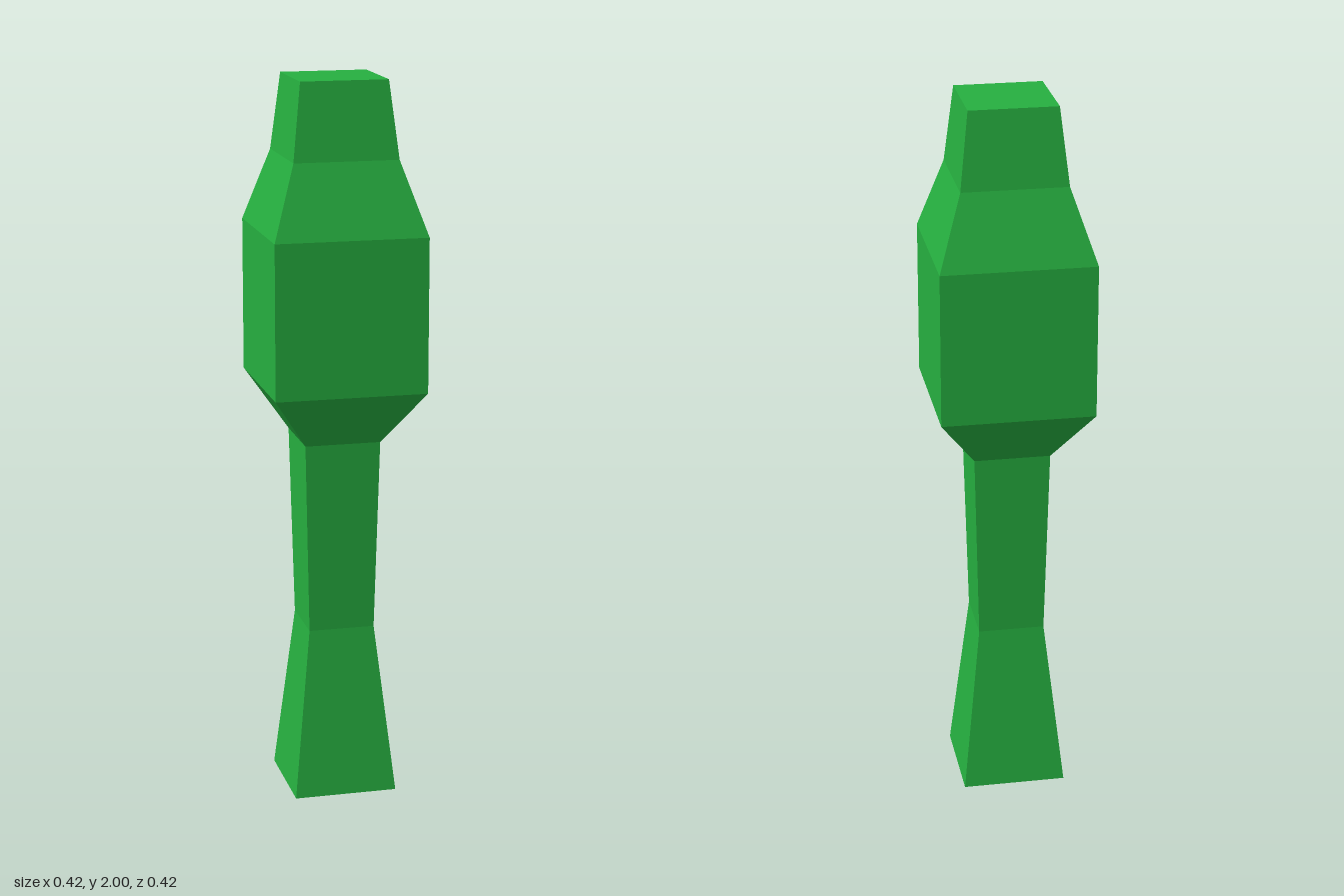
import * as THREE from 'three';

// Square-section column from [halfWidth, height] pairs, listed bottom to top
function squareColumn(name, profile, material) {
  const points = profile.map(([half, y]) => new THREE.Vector2(half * Math.SQRT2, y));
  const lathe = new THREE.LatheGeometry(points, 4, Math.PI / 4);
  const geometry = lathe.toNonIndexed();
  geometry.computeVertexNormals(); // crisp facets
  const mesh = new THREE.Mesh(geometry, material);
  mesh.name = name;
  return mesh;
}

export function createModel() {
  const green = new THREE.MeshStandardMaterial({ color: 0x26b040, flatShading: true });
  green.name = 'green';

  const group = new THREE.Group();
  group.name = 'squareClub';

  // Waisted handle with a flared, closed foot
  group.add(squareColumn('handle', [
    [0, 0], [0.144, 0], [0.092, 0.475], [0.105, 1.01],
  ], green));

  // Bulging head, tapering in two steps to a flat top
  group.add(squareColumn('head', [
    [0.105, 1.01], [0.21, 1.165], [0.21, 1.59], [0.144, 1.79], [0.12, 2], [0, 2],
  ], green));

  return group;
}
